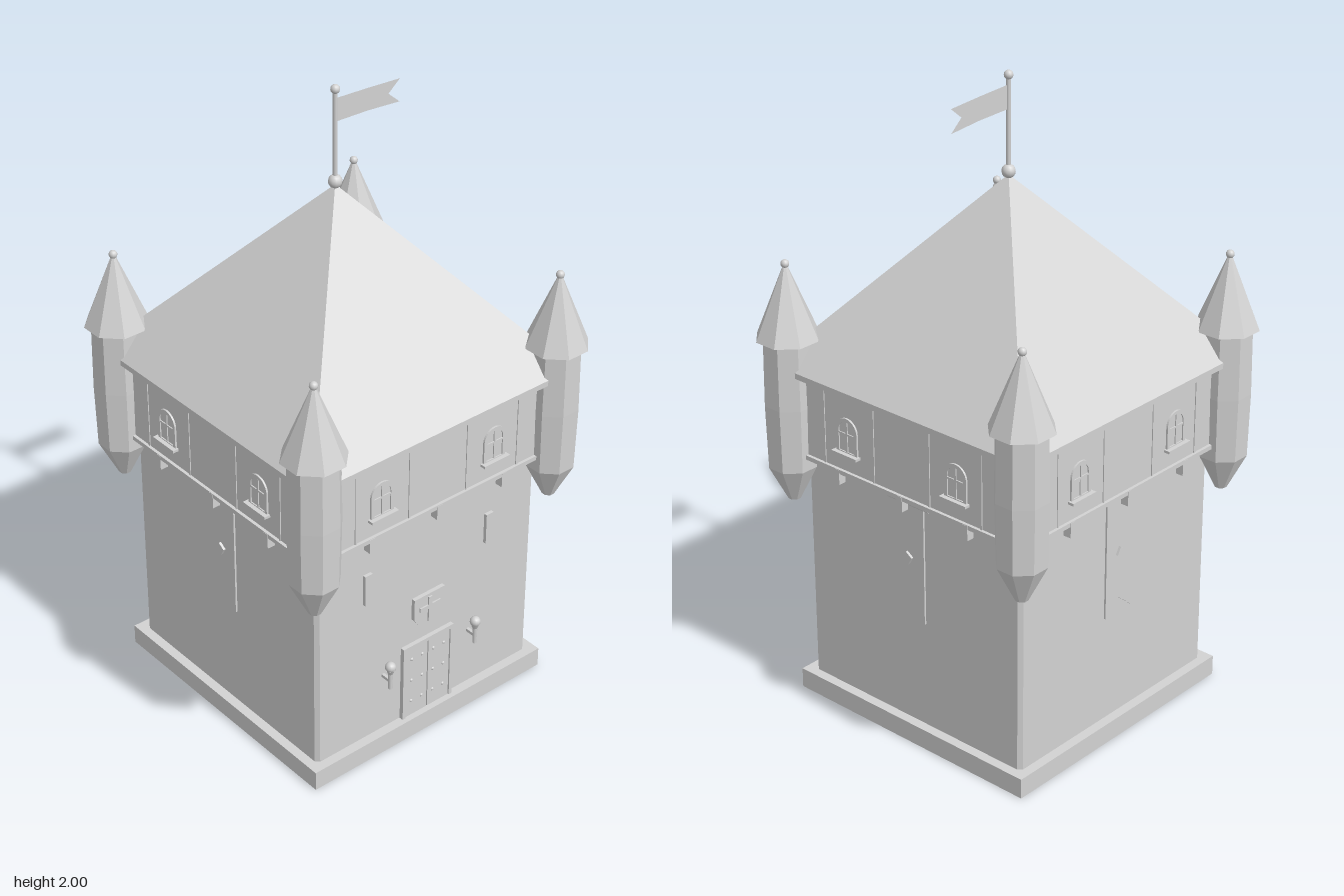
import * as THREE from 'three';
import { toCreasedNormals } from 'three/addons/utils/BufferGeometryUtils.js';

const stone = new THREE.MeshStandardMaterial({ color: 0xd2d2d2 });
stone.name = 'pale stone';
const openSided = new THREE.MeshStandardMaterial({ color: 0xd2d2d2, side: THREE.DoubleSide });
openSided.name = 'pale stone, two-sided';

function add(parent, name, geo, x = 0, y = 0, z = 0, mat = stone) {
  const m = new THREE.Mesh(geo, mat);
  m.name = name;
  m.position.set(x, y, z);
  parent.add(m);
  return m;
}
function group(parent, name) {
  const g = new THREE.Group();
  g.name = name;
  parent.add(g);
  return g;
}
const box = (w, h, d) => new THREE.BoxGeometry(w, h, d);
const ball = (r) => new THREE.SphereGeometry(r, 12, 8);
const outline = (pts) => new THREE.Shape(pts.map(([x, y]) => new THREE.Vector2(x, y)));
const plate = (shape, depth) =>
  new THREE.ExtrudeGeometry(shape, { depth, bevelEnabled: false, curveSegments: 10 });

// Octagonal lathe with flat sides facing the axes; radii are given to the flats
function octagon(profile) {
  const k = 1 / Math.cos(Math.PI / 8);
  const geo = new THREE.LatheGeometry(profile.map(([r, y]) => new THREE.Vector2(r * k, y)), 8, Math.PI / 8);
  return toCreasedNormals(geo, 0.02);
}

// Arched opening outline
function arch(half, bottom, spring, Kind = THREE.Shape) {
  const s = new Kind();
  s.moveTo(-half, bottom);
  s.lineTo(half, bottom);
  s.lineTo(half, spring);
  s.absarc(0, spring, half, 0, Math.PI, false);
  s.lineTo(-half, bottom);
  return s;
}

function addWindow(parent, x, z) {
  const w = group(parent, 'archedWindow');
  w.position.set(x, 0.9, z);
  const frame = arch(0.042, 0, 0.072);
  frame.holes.push(arch(0.031, 0.006, 0.072, THREE.Path));
  add(w, 'windowFrame', plate(frame, 0.006));
  add(w, 'windowPane', plate(arch(0.033, 0.003, 0.072), 0.002));
  add(w, 'windowMullion', box(0.006, 0.1, 0.005), 0, 0.053, 0.003);
  add(w, 'windowTransom', box(0.064, 0.006, 0.005), 0, 0.062, 0.003);
  add(w, 'windowSill', box(0.1, 0.008, 0.02), 0, -0.001, 0.01);
}

function addTorch(parent, x) {
  const t = group(parent, 'torch');
  t.position.set(x, 0, 0.425);
  add(t, 'torchBracket', box(0.01, 0.01, 0.036), 0, 0.27, 0.018);
  add(t, 'torchHandle', new THREE.CylinderGeometry(0.008, 0.006, 0.065, 8), 0, 0.272, 0.034);
  add(t, 'torchCup', new THREE.CylinderGeometry(0.016, 0.008, 0.018, 8), 0, 0.305, 0.034);
  add(t, 'torchFlame', ball(0.017), 0, 0.321, 0.034);
}

function addTurret(parent, x, z) {
  const t = group(parent, 'cornerTurret');
  t.position.set(x, 0, z);
  add(t, 'turretBody', octagon([[0, 0.67], [0.018, 0.67], [0.071, 0.785], [0.075, 0.99], [0.072, 1.205]]));
  add(t, 'turretRoof', octagon([[0.07, 1.199], [0.091, 1.199], [0.004, 1.43]]));
  add(t, 'turretFinial', ball(0.013), 0, 1.43, 0);
}

function addBanner(parent) {
  const b = group(parent, 'wallBanner');
  b.position.z = 0.425;
  const shape = outline([[-0.06, 0.8], [-0.06, 0.42], [0, 0.47], [0.06, 0.42], [0.06, 0.8]]);
  add(b, 'bannerCloth', plate(shape, 0.006), 0, 0, 0.005);
  const rod = add(b, 'bannerRod', new THREE.CylinderGeometry(0.005, 0.005, 0.16, 8), 0, 0.802, 0.008);
  rod.rotation.z = Math.PI / 2;
  const emblem = outline([[0.004, 0.605], [0.018, 0.63], [-0.004, 0.645], [-0.018, 0.62]]);
  add(b, 'bannerEmblem', plate(emblem, 0.008), 0, 0, 0.011);
}

function addDoor(parent) {
  const d = group(parent, 'door');
  d.position.z = 0.425;
  const frame = outline([[-0.1, 0.065], [-0.088, 0.065], [-0.088, 0.322], [0.088, 0.322],
    [0.088, 0.065], [0.1, 0.065], [0.1, 0.335], [-0.1, 0.335]]);
  add(d, 'doorFrame', plate(frame, 0.014));
  for (const s of [-1, 1]) {
    add(d, 'doorLeaf', box(0.085, 0.257, 0.01), s * 0.0445, 0.1935, 0.005);
    for (const y of [0.12, 0.2, 0.28]) {
      for (const x of [0.022, 0.064]) add(d, 'doorStud', ball(0.006), s * x, y, 0.008);
    }
  }
}

export function createModel() {
  const tower = new THREE.Group();
  tower.name = 'castleTower';

  // Hollow plinth, open underneath
  const skirt = new THREE.CylinderGeometry(0.455 * Math.SQRT2, 0.455 * Math.SQRT2, 0.065, 4, 1, true);
  add(tower, 'plinthSides', toCreasedNormals(skirt.rotateY(Math.PI / 4), 0.02), 0, 0.0325, 0, openSided);
  const cap = new THREE.PlaneGeometry(0.91, 0.91).rotateX(-Math.PI / 2);
  add(tower, 'plinthTop', cap, 0, 0.065, 0, openSided);

  // Lower wall with chamfered corners
  const h = 0.425, c = 0.413;
  const plan = outline([[c, -h], [h, -c], [h, c], [c, h], [-c, h], [-h, c], [-h, -c], [-c, -h]]);
  add(tower, 'lowerWall', plate(plan, 0.764).rotateX(-Math.PI / 2), 0, 0.066, 0);

  // Jettied upper storey
  add(tower, 'storeyLedge', box(0.94, 0.014, 0.94), 0, 0.833, 0);
  add(tower, 'upperWall', box(0.92, 0.27, 0.92), 0, 0.97, 0);
  add(tower, 'eaves', box(0.99, 0.018, 0.99), 0, 1.106, 0);

  // Pyramid roof
  const roof = new THREE.ConeGeometry(0.495 * Math.SQRT2, 0.575, 4, 1).rotateY(Math.PI / 4);
  add(tower, 'mainRoof', toCreasedNormals(roof, 0.02), 0, 1.4025, 0);

  // Corner turrets
  for (const sx of [-1, 1]) {
    for (const sz of [-1, 1]) addTurret(tower, sx * 0.456, sz * 0.456);
  }

  // The four faces share windows, timber strips and brackets
  ['front', 'left', 'back', 'right'].forEach((side, i) => {
    const face = group(tower, side + 'Face');
    face.rotation.y = i * Math.PI / 2;
    for (const x of [-0.255, 0, 0.255]) {
      add(face, 'bracket', box(0.02, 0.048, 0.026), x, 0.814, 0.458);
    }
    for (const s of [-1, 1]) {
      addWindow(face, s * 0.215, 0.46);
      for (const x of [0.11, 0.31]) add(face, 'timberStrip', box(0.006, 0.256, 0.006), s * x, 0.968, 0.46);
    }
    if (i > 0) addBanner(face);
  });

  // Front wall fittings
  const front = tower.getObjectByName('frontFace');
  addDoor(front);
  for (const s of [-1, 1]) {
    addTorch(front, s * 0.17);
    add(front, 'arrowSlit', box(0.028, 0.105, 0.012), s * 0.237, 0.627, 0.43);
  }
  const shield = outline([[0.06, 0.5], [0.06, 0.425], [0.045, 0.405], [0, 0.375],
    [-0.045, 0.405], [-0.06, 0.425], [-0.06, 0.5]]);
  add(front, 'shield', plate(shield, 0.014), 0, 0, 0.424);
  add(front, 'shieldCrossUpright', box(0.014, 0.09, 0.006), 0, 0.445, 0.44);
  add(front, 'shieldCrossBar', box(0.08, 0.014, 0.006), 0, 0.455, 0.44);

  // Roof finial, flagpole and swallow-tailed flag
  add(tower, 'roofFinial', ball(0.021), 0, 1.7, 0);
  add(tower, 'flagpole', new THREE.CylinderGeometry(0.007, 0.007, 0.29, 8), 0, 1.84, 0);
  add(tower, 'poleBall', ball(0.014), 0, 1.986, 0);
  const flag = outline([[0.004, 1.885], [0.12, 1.882], [0.237, 1.873], [0.195, 1.91],
    [0.237, 1.945], [0.12, 1.952], [0.004, 1.957]]);
  add(tower, 'flag', new THREE.ShapeGeometry(flag), 0, 0, 0, openSided);

  return tower;
}
